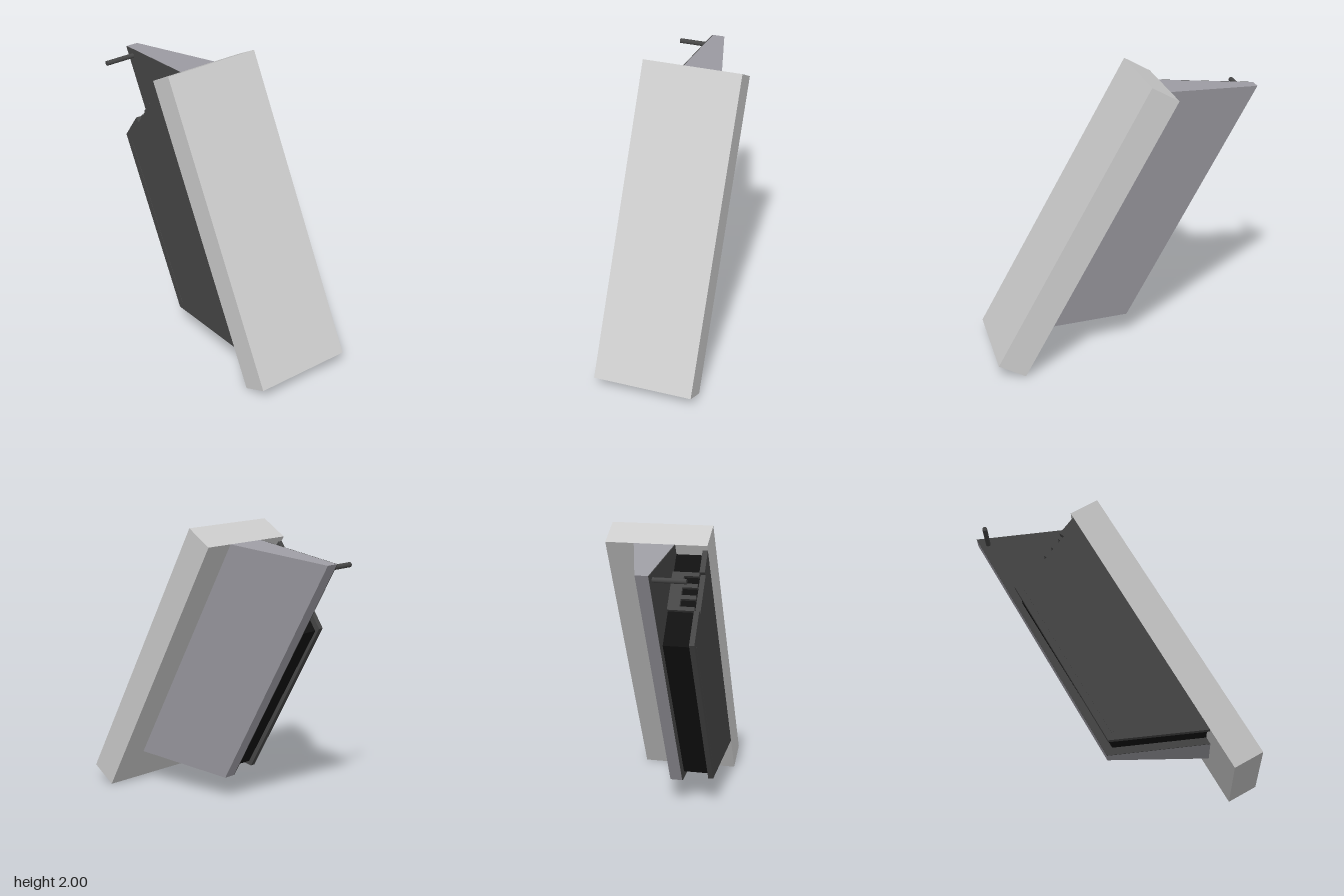
import * as THREE from 'three';

const mat = (name, color) => {
  const m = new THREE.MeshStandardMaterial({ color });
  m.name = name;
  return m;
};

export function createModel() {
  const group = new THREE.Group();
  const lightGrey = mat('light grey', 0xcbcbcb);
  const midGrey = mat('cool grey', 0x9e9da4);
  const darkGrey = mat('dark grey', 0x464646);
  const black = mat('black', 0x111111);

  const add = (name, geometry, material) => {
    const mesh = new THREE.Mesh(geometry, material);
    mesh.name = name;
    group.add(mesh);
    return mesh;
  };
  // Prism from a front outline between two depths
  const prism = (points, z0, z1) => {
    const shape = new THREE.Shape(points.map(([x, y]) => new THREE.Vector2(x, y)));
    return new THREE.ExtrudeGeometry(shape, { depth: z1 - z0, bevelEnabled: false }).translate(0, 0, z0);
  };

  // Long leaning slab
  add('slab', prism([[-0.285, 1.895], [0.785, 0], [0.97, 0.105], [-0.1, 2]], -0.345, 0.345), lightGrey);

  // Tapered housing: its back slopes forward towards the outer edge
  const outline = [[-0.97, 1.82], [-0.035, 0.17], [0.65, 0.245], [-0.285, 1.895]];
  const housing = prism(outline, -0.15, 0.125);
  const pos = housing.attributes.position;
  for (let i = 0; i < pos.count; i++) {
    const outer = outline.slice(0, 2).some(([x, y]) => Math.hypot(pos.getX(i) - x, pos.getY(i) - y) < 0.001);
    if (outer && pos.getZ(i) < 0) pos.setZ(i, 0.04);
  }
  housing.computeVertexNormals();
  add('housing', housing, midGrey);
  add('housingFace', prism(outline, 0.125, 0.13), darkGrey);

  // Inset core between the housing and the cover
  add('core', prism([[-0.625, 1.3], [0, 0.225], [0.622, 0.29], [-0.246, 1.826]], 0.13, 0.31), black);

  // Cover plate with a notch in its upper edge
  add('cover', prism([
    [-0.66, 1.32], [-0.02, 0.195], [0.638, 0.262], [-0.268, 1.862],
    [-0.36, 1.735], [-0.33, 1.712], [-0.488, 1.492], [-0.518, 1.516],
  ], 0.31, 0.345), darkGrey);

  // Fine rib along the outer edge of the cover
  add('coverRib', prism([[-0.592, 1.292], [0.002, 0.246], [0.014, 0.254], [-0.58, 1.298]], 0.345, 0.347), darkGrey);

  // Connector in the notch: solid base with separate teeth
  const a = new THREE.Vector2(-0.503, 1.504), b = new THREE.Vector2(-0.345, 1.724);
  const angle = Math.atan2(b.y - a.y, b.x - a.x);
  const along = (length, depth, t, z) => {
    const p = a.clone().lerp(b, t);
    return new THREE.BoxGeometry(length, 0.028, depth).rotateZ(angle).translate(p.x, p.y, z);
  };
  add('connectorBase', along(a.distanceTo(b), 0.08, 0.5, 0.17), darkGrey);
  for (let i = 0; i < 4; i++) {
    add('connectorTooth', along(0.028, 0.1, 0.05 + i * 0.3, 0.26), darkGrey);
  }

  // Pin at the upper outer corner
  const pin = new THREE.CylinderGeometry(0.017, 0.017, 0.215, 16).rotateX(Math.PI / 2);
  add('pin', pin, darkGrey).position.set(-0.885, 1.78, 0.2375);

  return group;
}
